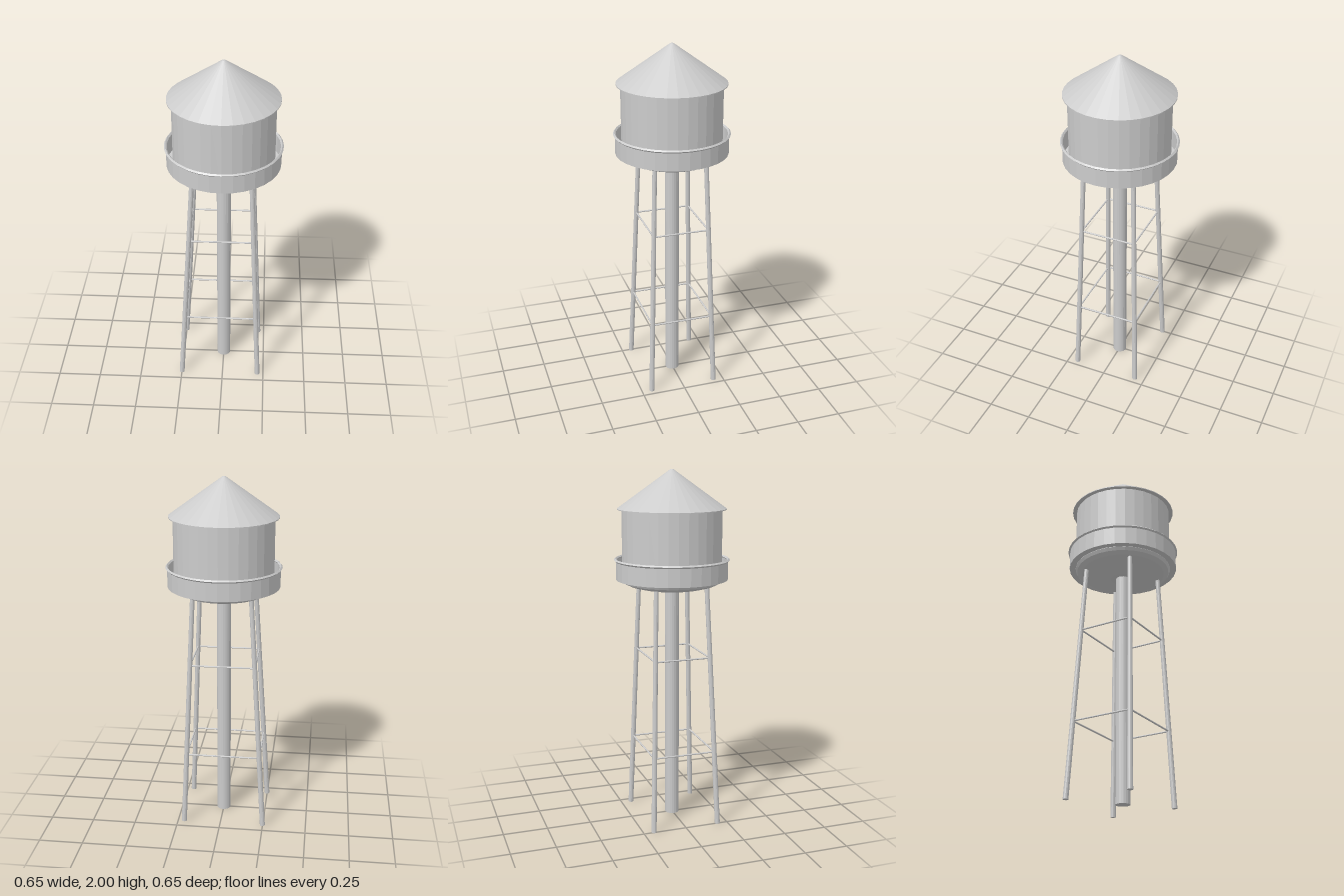
import * as THREE from 'three';

const SIDES = 32;
const metal = new THREE.MeshStandardMaterial({ color: 0xcccccc, flatShading: true, side: THREE.DoubleSide });

function add(parent, name, geometry) {
  const mesh = new THREE.Mesh(geometry, metal);
  mesh.name = name;
  parent.add(mesh);
  return mesh;
}

// Revolve [radius, y] pairs around the vertical axis
function lathe(parent, name, points) {
  return add(parent, name, new THREE.LatheGeometry(points.map(([r, y]) => new THREE.Vector2(r, y)), SIDES));
}

// Round bar between two points
function bar(parent, name, from, to, rFrom, rTo, sides) {
  const dir = to.clone().sub(from);
  const mesh = add(parent, name, new THREE.CylinderGeometry(rTo, rFrom, dir.length(), sides));
  mesh.position.copy(from).addScaledVector(dir, 0.5);
  mesh.quaternion.setFromUnitVectors(new THREE.Vector3(0, 1, 0), dir.normalize());
  return mesh;
}

export function createModel() {
  const tower = new THREE.Group();
  tower.name = 'waterTower';

  // Tank with a shallow rounded bottom
  lathe(tower, 'tank', [
    [0, 1.334], [0.07, 1.336], [0.13, 1.341], [0.19, 1.352], [0.24, 1.365],
    [0.268, 1.378], [0.278, 1.395], [0.278, 1.785],
  ]);

  // Conical roof with a thin eave and closed underside
  lathe(tower, 'roof', [[0, 1.782], [0.302, 1.782], [0.302, 1.787], [0.009, 1.998], [0, 2]]);

  // Walkway: floor, parapet and top rail
  const balcony = new THREE.Group();
  balcony.name = 'balcony';
  tower.add(balcony);
  lathe(balcony, 'balconyFloor', [[0.27, 1.397], [0.313, 1.397]]);
  lathe(balcony, 'balconyWall', [[0.313, 1.397], [0.313, 1.505]]);
  const rail = add(balcony, 'balconyRail', new THREE.TorusGeometry(0.315, 0.008, 4, SIDES));
  rail.rotation.x = Math.PI / 2;
  rail.position.y = 1.506;

  // Central riser pipe
  const riser = add(tower, 'riserPipe', new THREE.CylinderGeometry(0.04, 0.04, 1.34, 20));
  riser.position.y = 0.67;

  // Four splayed legs, in order around the tower
  const legs = [[-1, 1], [1, 1], [1, -1], [-1, -1]].map(([sx, sz]) => ({
    foot: new THREE.Vector3(sx < 0 ? -0.249 : 0.214, 0, sz * 0.192),
    head: new THREE.Vector3(sx < 0 ? -0.165 : 0.156, 1.365, sz * 0.146),
  }));
  legs.forEach(({ foot, head }) => bar(tower, 'leg', foot, head, 0.015, 0.013, 12));

  // Two levels of horizontal braces between neighbouring legs
  for (const y of [0.428, 0.972]) {
    const at = ({ foot, head }) => foot.clone().lerp(head, y / head.y);
    legs.forEach((leg, i) => bar(tower, 'brace', at(leg), at(legs[(i + 1) % 4]), 0.005, 0.005, 8));
  }

  return tower;
}
